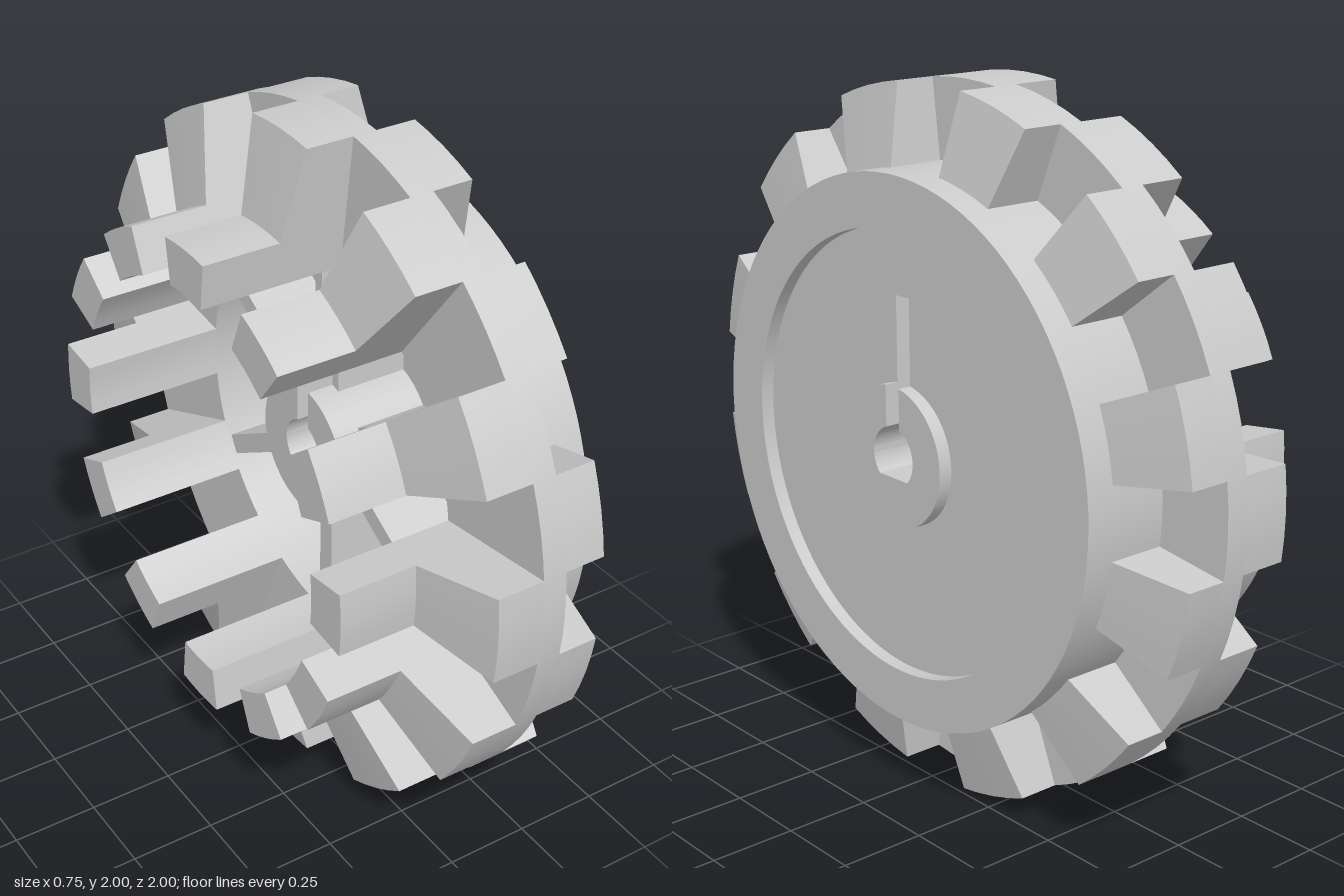
import * as THREE from 'three';
import { mergeGeometries, toCreasedNormals } from 'three/addons/utils/BufferGeometryUtils.js';

const grey = new THREE.MeshStandardMaterial({ color: 0xcccccc });
const PI = Math.PI;

// Sweeps a closed [radius, x] profile (counterclockwise) round the x axis; partial sweeps get end caps.
function sweep(profile, segments, start = 0, length = 2 * PI) {
  const pts = profile.map(([r, x]) => new THREE.Vector2(r, x));
  const parts = [new THREE.LatheGeometry([...pts, pts[0].clone()], segments, start, length)];
  if (length < 2 * PI) {
    const first = new THREE.ShapeGeometry(new THREE.Shape(pts));
    const last = first.clone();
    const idx = last.index.array;
    for (let i = 0; i < idx.length; i += 3) [idx[i], idx[i + 1]] = [idx[i + 1], idx[i]];
    first.rotateY(start - PI / 2);
    last.rotateY(start + length - PI / 2);
    parts.push(first, last);
  }
  return toCreasedNormals(mergeGeometries(parts).rotateZ(-PI / 2), 0.5);
}

// Extrudes a side-on shape along x, from x0 to x1.
function slab(shape, x0, x1) {
  const g = new THREE.ExtrudeGeometry(shape, { depth: x1 - x0, bevelEnabled: false, curveSegments: 64 });
  return toCreasedNormals(g.rotateY(PI / 2).translate(x0, 0, 0), 0.5);
}

export function createModel() {
  const model = new THREE.Group();
  const wheel = new THREE.Group();
  wheel.name = 'wheel';
  wheel.position.y = 1;
  model.add(wheel);

  const add = (name, geometry, parent = wheel) => {
    const mesh = new THREE.Mesh(geometry, grey);
    mesh.name = name;
    parent.add(mesh);
    return mesh;
  };

  // Hollow drum with the full-radius middle band
  add('rim', sweep([
    [0.6, 0.05], [1, 0.05], [1, 0.12], [0.775, 0.12], [0.775, 0.375],
    [0.625, 0.375], [0.625, 0.32], [0.6, 0.32],
  ], 96));

  // Staggered treads: long ones with posts on one side, short ones on the other
  const step = PI / 6, width = PI / 12;
  const postProfile = [[0.6, -0.38], [0.735, -0.38], [0.735, -0.15], [1, -0.09], [1, 0.05], [0.6, 0.05]];
  const lugProfile = [[0.77, 0.12], [1, 0.12], [1, 0.24], [0.77, 0.29]];
  const posts = new THREE.Group();
  const lugs = new THREE.Group();
  posts.name = 'treadPosts';
  lugs.name = 'treadLugs';
  wheel.add(posts, lugs);
  for (let i = 0; i < 12; i++) {
    add('treadPost', sweep(postProfile, 4, i * step - width / 2, width), posts);
    add('treadLug', sweep(lugProfile, 4, (i + 0.5) * step - width / 2, width), lugs);
  }

  // Flat-sided bore joined to a tall slot
  const bore = 0.085, half = 0.028, slotTop = 0.44, hubR = 0.2;
  const a = Math.asin(half / bore);
  const b = Math.asin(0.06 / bore);
  const c = Math.asin(half / hubR);

  // Recessed face plate with the keyhole
  const plate = new THREE.Shape().absarc(0, 0, 0.625, 0, 2 * PI);
  const keyhole = new THREE.Path();
  keyhole.moveTo(half, slotTop);
  keyhole.lineTo(-half, slotTop);
  keyhole.absarc(0, 0, bore, PI / 2 + a, PI + b, false);
  keyhole.absarc(0, 0, bore, -b, PI / 2 - a, false);
  keyhole.closePath();
  plate.holes.push(keyhole);
  add('facePlate', slab(plate, 0.28, 0.335));

  // Hub, split by the slot
  const hub = new THREE.Shape();
  hub.absarc(0, 0, hubR, PI / 2 + c, 2.5 * PI - c, false);
  hub.absarc(0, 0, bore, PI / 2 - a, -b, true);
  hub.absarc(0, 0, bore, PI + b, PI / 2 + a, true);
  hub.closePath();
  add('hub', slab(hub, -0.02, 0.375));

  // Inner ribs from hub to drum; the upper one is two walls beside the slot
  const rib = (angle, thickness, offset) => {
    const g = new THREE.BoxGeometry(0.23, 0.43, thickness);
    g.translate(0.175, 0.4, offset).rotateX(angle);
    add('rib', g);
  };
  for (let i = 1; i < 6; i++) rib(i * PI / 3, 0.06, 0);
  for (const s of [-1, 1]) rib(0, 0.03, s * (half + 0.015));

  return model;
}
